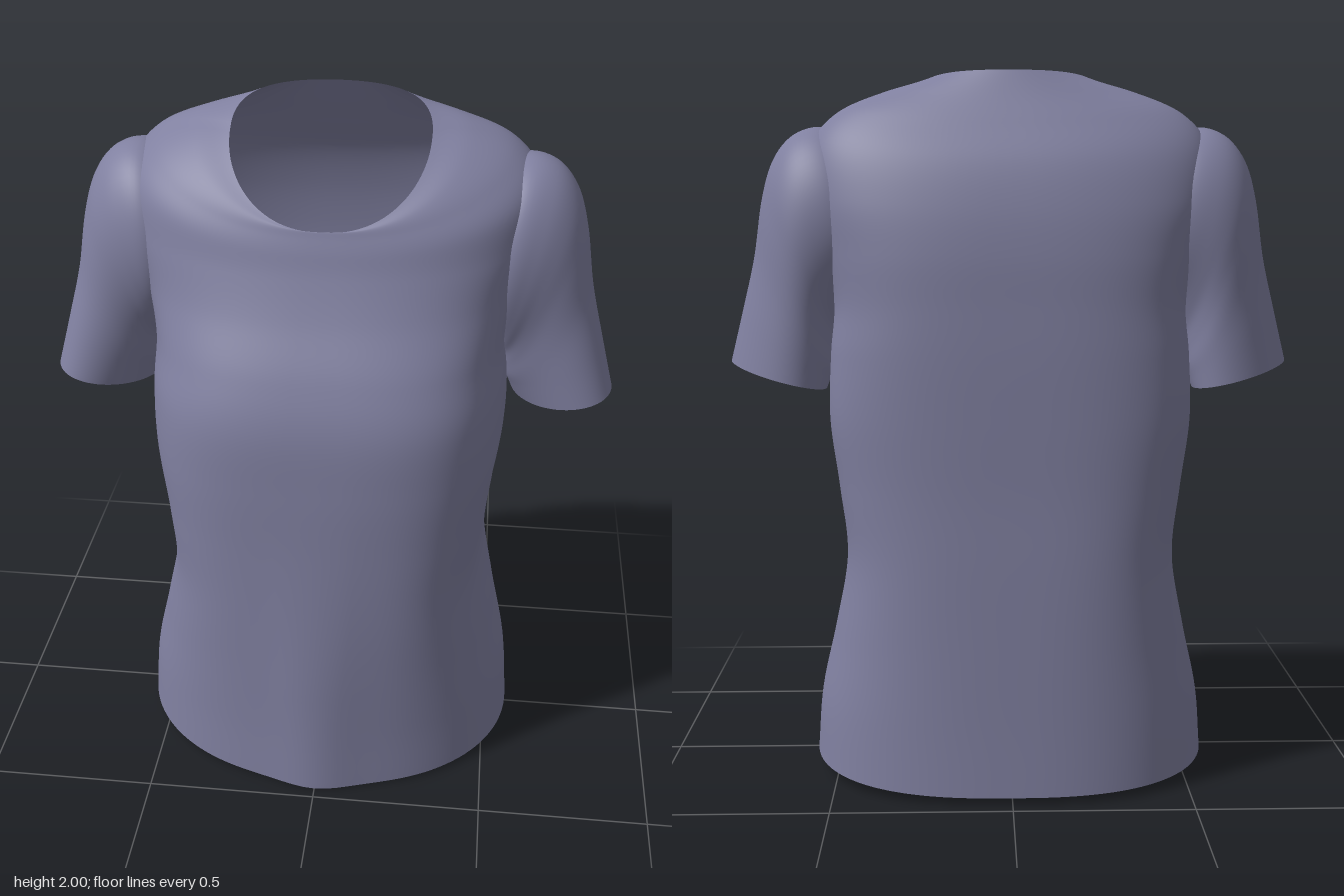
import * as THREE from 'three';

// Closed rings joined into a smooth open skin; skip(point) leaves a hole
function loft(rows, segments, point, skip = () => false) {
  const pts = [], index = [];
  for (let i = 0; i <= rows; i++)
    for (let j = 0; j < segments; j++) pts.push(point(i / rows, (j / segments) * Math.PI * 2));
  for (let i = 0; i < rows; i++)
    for (let j = 0; j < segments; j++) {
      const k = (j + 1) % segments;
      const a = i * segments + j, b = i * segments + k, c = a + segments, d = b + segments;
      if ([a, b, c, d].every((n) => skip(pts[n]))) continue;
      index.push(a, c, b, b, c, d);
    }
  const g = new THREE.BufferGeometry().setFromPoints(pts);
  g.setIndex(index);
  g.computeVertexNormals();
  return g;
}

// Smooth blend through a list of cross-sections, u from 0 to 1
function sectionBlend(sections) {
  const curve = new THREE.CubicInterpolant(
    sections.map((_, i) => i / (sections.length - 1)), sections.flat(), sections[0].length);
  return (u) => curve.evaluate(u);
}

const power = (v, n) => Math.sign(v) * Math.abs(v) ** (2 / n);
const bell = (v, width) => Math.exp(-((v / width) ** 2));

// Torso from hem to neckline:
// height front, side, back | half width | z front, back, widest | squareness front, back
const torso = sectionBlend([
  [0.00, 0.035, 0.02, 0.572, 0.437, -0.46, 0.00, 2.15, 2.6],
  [0.20, 0.22, 0.20, 0.555, 0.435, -0.45, -0.01, 2.25, 2.7],
  [0.42, 0.42, 0.42, 0.51, 0.435, -0.44, -0.03, 2.6, 2.9],
  [0.64, 0.64, 0.64, 0.47, 0.435, -0.43, -0.06, 3.1, 3.2],
  [0.84, 0.84, 0.84, 0.487, 0.435, -0.42, -0.09, 3.2, 3.2],
  [1.04, 1.04, 1.04, 0.51, 0.435, -0.415, -0.12, 3.2, 3.1],
  [1.22, 1.22, 1.22, 0.505, 0.425, -0.41, -0.12, 3.2, 3.1],
  [1.36, 1.36, 1.36, 0.495, 0.382, -0.403, -0.11, 3.0, 3.1],
  [1.50, 1.50, 1.50, 0.525, 0.313, -0.395, -0.10, 2.6, 2.9],
  [1.61, 1.65, 1.63, 0.565, 0.268, -0.375, -0.10, 2.35, 2.6],
  [1.68, 1.79, 1.75, 0.56, 0.246, -0.338, -0.09, 2.25, 2.4],
  [1.715, 1.875, 1.85, 0.49, 0.234, -0.28, -0.08, 2.2, 2.3],
  [1.73, 1.918, 1.93, 0.375, 0.229, -0.23, -0.04, 2.3, 2.2],
  [1.73, 1.925, 2.00, 0.268, 0.228, -0.19, 0.00, 2.3, 2.1],
]);

function torsoPoint(u, t) {
  const [yF, yS, yB, w, zF, zB, zC, nF, nB] = torso(u);
  const n = Math.sin(t) >= 0 ? nF : nB;
  const s = power(Math.sin(t), n);
  let x = w * power(Math.cos(t), n);
  let z = zC + s * (s > 0 ? zF - zC : zC - zB);
  const y = yS + ((yF - yB) / 2) * s + ((yF + yB) / 2 - yS) * s * s;
  if (s > 0) {
    // Central drape ridge and the shallow folds below the bust
    z += 0.028 * bell(x, 0.12) * THREE.MathUtils.smoothstep(1.25 - y, 0, 0.9);
    x *= 1 - 0.03 * bell(y - 0.85, 0.25) * bell(s - 0.4, 0.3);
  }
  return new THREE.Vector3(x, y, z);
}

const inArmhole = (p) =>
  Math.abs(p.x) > 0.46 && ((p.y - 1.57) / 0.19) ** 2 + ((p.z + 0.09) / 0.14) ** 2 < 1;

// Sleeve from shoulder to cuff: outer x, y | inner x, y | z front, back | forward lean of outer edge
const sleeve = sectionBlend([
  [0.42, 1.80, 0.44, 1.37, 0.10, -0.27, 0],
  [0.52, 1.85, 0.465, 1.33, 0.12, -0.28, 0],
  [0.605, 1.83, 0.48, 1.29, 0.113, -0.28, 0],
  [0.665, 1.76, 0.49, 1.26, 0.10, -0.275, 0.005],
  [0.70, 1.65, 0.495, 1.22, 0.088, -0.267, 0.015],
  [0.727, 1.49, 0.50, 1.18, 0.08, -0.26, 0.03],
  [0.765, 1.34, 0.51, 1.15, 0.077, -0.255, 0.045],
  [0.805, 1.19, 0.52, 1.12, 0.075, -0.25, 0.06],
]);

function sleevePoint(u, t) {
  const [ox, oy, ix, iy, zF, zB, lean] = sleeve(u);
  const c = (1 + power(Math.cos(t), 2)) / 2;
  const s = (1 + power(Math.sin(t), 2)) / 2;
  const z = zB + (zF - zB) * s + lean * (2 * c - 1);
  return new THREE.Vector3(ix + (ox - ix) * c, iy + (oy - iy) * c, z);
}

export function createModel() {
  const fabric = new THREE.MeshStandardMaterial({ color: 0x8080a0, side: THREE.DoubleSide });
  fabric.name = 'slate lavender fabric';
  const group = new THREE.Group();
  group.name = 'shirt';

  const body = new THREE.Mesh(loft(104, 128, torsoPoint, inArmhole), fabric);
  body.name = 'body';
  group.add(body);

  const sleeveGeometry = loft(42, 64, sleevePoint);
  for (const side of [1, -1]) {
    const mesh = new THREE.Mesh(sleeveGeometry, fabric);
    mesh.name = side > 0 ? 'leftSleeve' : 'rightSleeve';
    mesh.scale.x = side;
    group.add(mesh);
  }
  return group;
}
